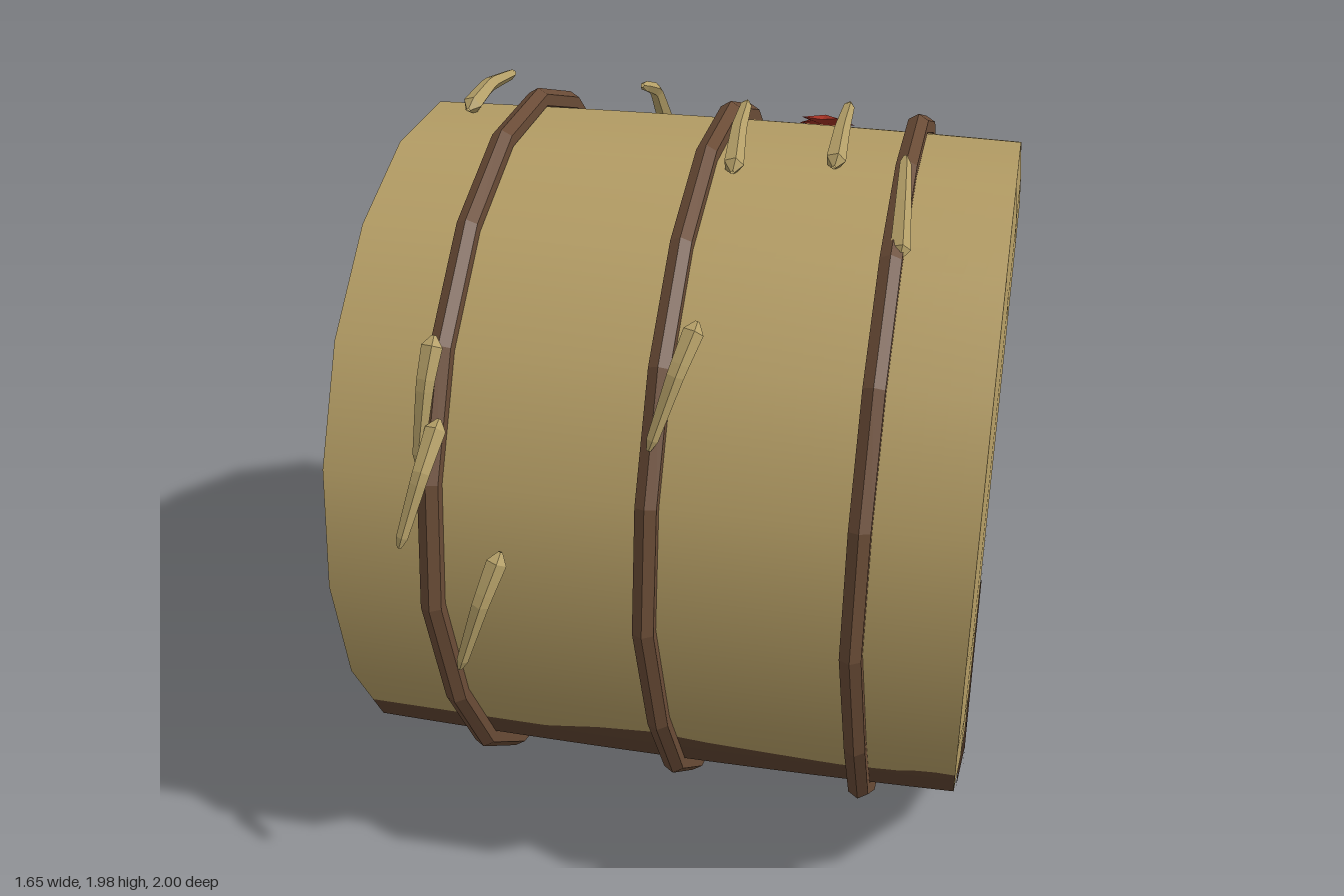
import * as THREE from 'three';

const CY = 0.97, CZ = -0.04, SIDES = 18, STEP = Math.PI / 9;
const TALL = 1.012; // the bale is slightly taller than deep
const deg = THREE.MathUtils.degToRad;

const mat = (name, color, extra = {}) =>
  Object.assign(new THREE.MeshStandardMaterial({ color, ...extra }), { name });

// point on the 18-sided outline; angle t runs from the top towards the front
function ringPoint(t, r, x) {
  const half = STEP / 2; // corners sit at 10 + 20k degrees
  const off = ((t % STEP) + STEP) % STEP - half;
  const k = r * Math.cos(half) / Math.cos(half - Math.abs(off));
  return [x, CY + TALL * k * Math.cos(t), CZ + k * Math.sin(t)];
}

// skin between rows of points; smooth normals may be given
function skin(rows, normals, flip) {
  const g = new THREE.BufferGeometry(), n = rows[0].length, idx = [];
  for (let i = 0; i < rows.length - 1; i++)
    for (let j = 0; j < n - 1; j++) {
      const a = i * n + j, b = a + 1, c = a + n, d = c + 1;
      idx.push(...(flip ? [a, b, c, b, d, c] : [a, c, b, b, c, d]));
    }
  g.setAttribute('position', new THREE.Float32BufferAttribute(rows.flat(2), 3));
  g.setIndex(idx);
  if (normals) g.setAttribute('normal', new THREE.Float32BufferAttribute(normals.flat(2), 3));
  else g.computeVertexNormals();
  return g;
}

// height of the soaked edge along the bale, as [x, y] stops
const frontEdge = [[-0.81, 0.465], [-0.6, 0.47], [-0.3, 0.47], [-0.15, 0.51], [0, 0.53], [0.15, 0.505],
  [0.3, 0.49], [0.5, 0.47], [0.65, 0.475], [0.73, 0.495], [0.81, 0.485]];
const backEdge = [[-0.81, 0.52], [-0.4, 0.54], [-0.05, 0.58], [0.1, 0.56], [0.25, 0.52], [0.45, 0.53], [0.81, 0.52]];
function edgeAngle(stops, x) {
  let i = 0;
  while (i < stops.length - 2 && x > stops[i + 1][0]) i++;
  const [a, b] = [stops[i], stops[i + 1]];
  const y = a[1] + (b[1] - a[1]) * (x - a[0]) / (b[0] - a[0]);
  return Math.acos((y - CY) / 0.92);
}

// curved wall, either the dry upper part or the soaked lower part
function wall(soaked) {
  const rows = [], normals = [], cols = 32;
  for (let i = 0; i <= cols; i++) {
    const x = -0.806 + 1.612 * i / cols;
    const r = 0.926 - 0.01 * (x / 0.806) ** 2;
    const f = edgeAngle(frontEdge, x), b = edgeAngle(backEdge, x);
    const angles = [soaked ? f : -b];
    for (let d = soaked ? 130 : -110; d <= (soaked ? 230 : 110); d += 20) angles.push(deg(d));
    angles.push(soaked ? 2 * Math.PI - b : f);
    rows.push(angles.map(t => ringPoint(t, r, x)));
    normals.push(angles.map(t => [0, Math.cos(t), Math.sin(t)]));
  }
  return skin(rows, normals, true);
}

// end face with shallow rolled rings; s is the side it faces
function endFace(s) {
  const radii = [0.001, 0.06, 0.12, 0.18, 0.25, 0.31, 0.37, 0.43, 0.5, 0.56, 0.63, 0.69, 0.75, 0.82, 0.916];
  const rows = radii.map((r, i) => {
    const x = i === radii.length - 1 ? 0.806 : 0.819 - (i % 2 ? 0.004 : 0) - (i < 2 ? 0.015 : 0);
    const row = [];
    for (let k = 0; k <= SIDES; k++) row.push(ringPoint(deg(10 + 20 * k), r, s * x));
    return row;
  });
  return skin(rows, null, s < 0);
}

// soaked patches on an end face, as [z, y] outlines
const patches = [
  [[0.417, 0.17], [0.31, 0.225], [0.55, 0.37], [0.55, 0.39], [0.42, 0.32], [0.3, 0.265], [0.15, 0.235],
    [0, 0.25], [-0.1, 0.22], [-0.25, 0.22], [-0.4, 0.265], [-0.5, 0.255], [-0.54, 0.35], [-0.63, 0.44],
    [-0.61, 0.36], [-0.52, 0.24], [-0.497, 0.17], [-0.199, 0.06], [0.119, 0.06]],
  [[0.24, 0.415], [0.2, 0.39], [0.15, 0.39], [0.2, 0.405]],
  [[-0.07, 0.33], [-0.12, 0.365], [-0.24, 0.4], [-0.22, 0.36], [-0.13, 0.33]],
];
function patch(outline, s) {
  const g = new THREE.ShapeGeometry(new THREE.Shape(outline.map(p => new THREE.Vector2(...p))));
  const p = g.attributes.position;
  for (let i = 0; i < p.count; i++) {
    const z = p.getX(i), y = p.getY(i);
    const r = Math.hypot(z - CZ, y - CY);
    p.setXYZ(i, s * (r > 0.88 ? 0.811 : 0.824), y, z);
  }
  g.computeVertexNormals();
  return g;
}

// rope hoop that shifts sideways on its lower half
function hoop(x) {
  const g = new THREE.TorusGeometry(0.937, 0.031, 6, SIDES);
  g.rotateY(Math.PI / 2).scale(1, 1.016, 1);
  const p = g.attributes.position;
  for (let i = 0; i < p.count; i++)
    p.setX(i, p.getX(i) + x + 0.022 * THREE.MathUtils.smoothstep(-p.getY(i), 0.1, 0.4));
  return g.translate(0, CY, CZ);
}

// bent stalk, thick at the first point and thin at the last
function stalk(points) {
  const curve = new THREE.CatmullRomCurve3(points.map(p => new THREE.Vector3(...p)), false, 'catmullrom', 0.12);
  const n = 12, sides = 5;
  const g = new THREE.TubeGeometry(curve, n, 0.028, sides);
  const p = g.attributes.position, v = new THREE.Vector3();
  for (let i = 0; i <= n; i++) {
    const c = curve.getPointAt(i / n);
    const k = i === 0 || i === n ? 0.2 : 1 - 0.5 * i / n;
    for (let j = 0; j <= sides; j++) {
      const id = i * (sides + 1) + j;
      v.fromBufferAttribute(p, id).sub(c).multiplyScalar(k).add(c);
      p.setXYZ(id, v.x, v.y, v.z);
    }
  }
  return g;
}

// five-pointed raised star
function starShape() {
  const pt = i => {
    const r = i % 2 ? 0.042 : 0.088, a = i * Math.PI / 5;
    return [r * Math.sin(a), 0, -r * Math.cos(a)];
  };
  const tri = [];
  for (let i = 0; i < 10; i++) tri.push(pt(i + 1), pt(i), [0, 0.022, 0], pt(i), pt(i + 1), [0, -0.01, 0]);
  const g = new THREE.BufferGeometry();
  g.setAttribute('position', new THREE.Float32BufferAttribute(tri.flat(), 3));
  g.computeVertexNormals();
  return g;
}

export function createModel() {
  const model = new THREE.Group();
  model.name = 'hayBale';
  const hay = mat('hay', 0xb39c64);
  const soaked = mat('soakedHay', 0x5f4431, { side: THREE.DoubleSide });
  const rope = mat('rope', 0x694b36, { flatShading: true });
  const straw = mat('looseStraw', 0xb5a068, { flatShading: true, side: THREE.DoubleSide });
  const red = mat('red', 0xa23124, { flatShading: true });
  const add = (name, geo, m) => {
    const mesh = new THREE.Mesh(geo, m);
    mesh.name = name;
    model.add(mesh);
    return mesh;
  };

  add('dryWall', wall(false), hay);
  add('soakedWall', wall(true), soaked);
  for (const s of [1, -1]) {
    add('endFace', endFace(s), hay);
    for (const o of patches) add('soakedPatch', patch(o, s), soaked);
  }
  for (const x of [-0.52, 0.023, 0.532]) add('ropeHoop', hoop(x), rope);

  // loose stalks on the front and the top
  [
    [[0.11, 1.71, 0.66], [0.075, 1.61, 0.74], [0.02, 1.43, 0.8]],
    [[-0.52, 1.64, 0.72], [-0.53, 1.54, 0.78], [-0.55, 1.34, 0.83]],
    [[-0.5, 1.45, 0.79], [-0.52, 1.35, 0.89], [-0.565, 1.18, 0.96]],
    [[-0.33, 1.16, 0.9], [-0.37, 1.04, 0.96], [-0.43, 0.85, 0.985]],
    [[-0.69, 1.9, -0.1], [-0.675, 1.925, -0.25], [-0.66, 1.9, -0.43]],
    [[0.1, 1.89, 0.18], [0.088, 1.95, 0.03], [0.08, 1.965, -0.14]],
    [[0.35, 1.9, 0.12], [0.35, 1.95, -0.01], [0.35, 1.965, -0.18]],
    [[0.55, 1.8, 0.42], [0.54, 1.9, 0.28], [0.53, 1.955, 0.15]],
    [[-0.26, 1.66, -0.69], [-0.275, 1.82, -0.59], [-0.29, 1.87, -0.48]],
  ].forEach(p => add('looseStalk', stalk(p), straw));

  // red star lying on the upper back
  const star = add('star', starShape(), red);
  star.position.set(0.24, 1.775, -0.54);
  star.rotation.set(deg(-30), -0.1, 0);
  return model;
}
